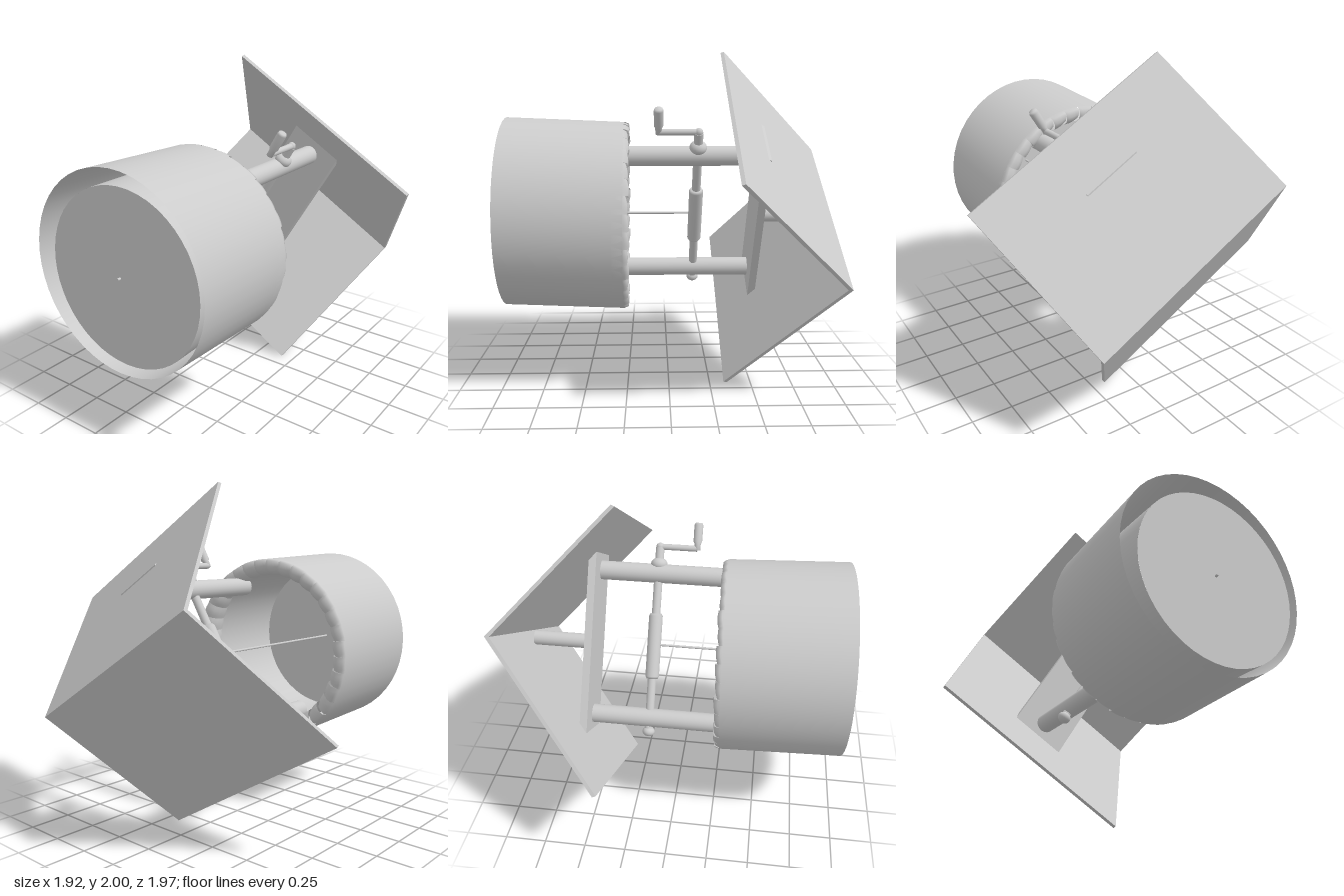
import * as THREE from 'three';

const grey = new THREE.MeshStandardMaterial({ color: 0xcccccc, side: THREE.DoubleSide });

function add(parent, name, geometry, x = 0, y = 0, z = 0) {
  const mesh = new THREE.Mesh(geometry, grey);
  mesh.name = name;
  mesh.position.set(x, y, z);
  parent.add(mesh);
  return mesh;
}

const profile = (pairs) => pairs.map(([x, y]) => new THREE.Vector2(x, y));

// Upright rod between two heights
function post(parent, name, r, x, y0, y1, z = 0) {
  return add(parent, name, new THREE.CylinderGeometry(r, r, y1 - y0, 24), x, (y0 + y1) / 2, z);
}

// Rod along the axle direction
function bar(parent, name, r, x0, x1, y) {
  const mesh = add(parent, name, new THREE.CylinderGeometry(r, r, x1 - x0, 24), (x0 + x1) / 2, y, 0);
  mesh.rotation.z = -Math.PI / 2;
  return mesh;
}

// Open tube standing on y0, leaning sideways by a slope in x and z
function leaningTube(r, y0, y1, leanX, leanZ) {
  return new THREE.CylinderGeometry(r, r, y1 - y0, 48, 1, true)
    .translate(0, (y0 + y1) / 2, 0)
    .applyMatrix4(new THREE.Matrix4().makeShear(0, 0, leanX, leanZ, 0, 0));
}

// One stone of the rim, fanned so that each overlaps the next
function rimStone(start, length, lift) {
  const section = profile([
    [0.566, 0.64], [0.567, 0.695], [0.558, 0.718], [0.53, 0.722],
    [0.50, 0.705], [0.478, 0.672], [0.474, 0.64], [0.492, 0.60]]);
  const steps = 5;
  const geometry = new THREE.LatheGeometry(section, steps, start, length);
  const p = geometry.attributes.position;
  for (let i = 0; i < p.count; i++) {
    const t = Math.floor(i / section.length) / steps;
    const swell = 0.6 * Math.sin(Math.PI * t) + t;
    const inner = Math.hypot(p.getX(i), p.getZ(i)) < 0.54;
    const k = inner ? 1 - 0.015 * swell : 1;
    const rise = p.getY(i) > 0.65 ? 0.009 * swell + lift : 0;
    p.setXYZ(i, p.getX(i) * k, p.getY(i) + rise, p.getZ(i) * k);
  }
  geometry.computeVertexNormals();
  return geometry;
}

function buildWell() {
  const well = new THREE.Group();
  well.name = 'wellWall';
  const leanX = 0.023, leanZ = -0.032;
  add(well, 'outerWall', leaningTube(0.568, 0, 0.7, leanX, leanZ));

  // Inner shaft and its floor sit slightly off centre at the bottom
  add(well, 'innerWall', leaningTube(0.495, 0.015, 0.66, -0.03, -0.01), 0.035, 0, -0.015);
  const floor = add(well, 'floor', new THREE.CircleGeometry(0.495, 48), 0.035, 0.015, -0.015);
  floor.rotation.x = Math.PI / 2;

  const rim = new THREE.Group();
  rim.name = 'rim';
  rim.position.set(leanX * 0.7, 0, leanZ * 0.7);
  well.add(rim);
  const count = 36, step = Math.PI * 2 / count;
  for (let i = 0; i < count; i++) {
    add(rim, 'rimStone', rimStone(i * step, step, 0.004 * Math.sin(i * 2.4)));
  }
  well.rotation.set(-Math.PI / 2 - 0.009, 0, 0.0228);
  well.position.set(-0.03, 1.04, 0.971);
  return well;
}

function buildRoof(frame) {
  // Bent sheet: two slopes meeting at the ridge
  const shape = new THREE.Shape(profile([
    [-0.78, 0.355], [0.035, 0.99], [0.765, 0.345],
    [0.757, 0.325], [0.035, 0.963], [-0.772, 0.335]]));
  const geometry = new THREE.ExtrudeGeometry(shape, { depth: 1.314, bevelEnabled: false });
  add(frame, 'roof', geometry, 0, 0, -0.675);

  // Tie plank with slanted ends under the slopes
  const plank = new THREE.Shape(profile([
    [-0.55, 0.515], [0.56, 0.515], [0.53, 0.56], [-0.505, 0.56]]));
  add(frame, 'tiePlank', new THREE.ExtrudeGeometry(plank, { depth: 0.345, bevelEnabled: false }), 0, 0, -0.1725);
  post(frame, 'kingPost', 0.045, 0, 0.55, 0.91);
}

function buildWinch(frame) {
  const y = 0.165;
  bar(frame, 'axle', 0.026, -0.55, 0.6, y);
  // Drum with rounded shoulders
  const drum = add(frame, 'drum', new THREE.LatheGeometry(profile([
    [0, -0.2], [0.034, -0.2], [0.042, -0.185], [0.042, 0.185], [0.034, 0.2], [0, 0.2]]), 24), 0, y, 0);
  drum.rotation.z = -Math.PI / 2;
  // Bearings on the outer sides of the posts
  for (const [x, r] of [[-0.53, 0.038], [0.5, 0.05]]) {
    const knob = add(frame, 'bearing', new THREE.SphereGeometry(r, 24, 16), x, y, 0);
    knob.scale.x = 0.8;
  }
  // Crank arm and turned grip
  post(frame, 'crankArm', 0.018, 0.605, -0.06, 0.18);
  add(frame, 'crankElbow', new THREE.SphereGeometry(0.024, 16, 12), 0.605, y, 0);
  const grip = add(frame, 'crankGrip', new THREE.LatheGeometry(profile([
    [0, 0], [0.018, 0], [0.019, 0.04], [0.026, 0.052], [0.027, 0.15], [0.022, 0.163], [0, 0.165]]), 20), 0.595, -0.06, 0);
  grip.rotation.z = -Math.PI / 2;
  post(frame, 'rope', 0.007, 0.01, -0.975, 0.16, 0.008);
}

export function createModel() {
  const model = new THREE.Group();
  model.name = 'well';
  model.add(buildWell());

  // Frame: local x runs along the axle, local y from floor to ridge
  const frame = new THREE.Group();
  frame.name = 'frame';
  frame.rotation.set(-Math.PI / 2, 0, THREE.MathUtils.degToRad(59), 'ZXY');
  frame.position.set(-0.01, 1.015, 0);
  model.add(frame);

  for (const side of [-1, 1]) post(frame, 'post', 0.057, side * 0.443, -0.33, 0.53);
  buildRoof(frame);
  buildWinch(frame);
  return model;
}
